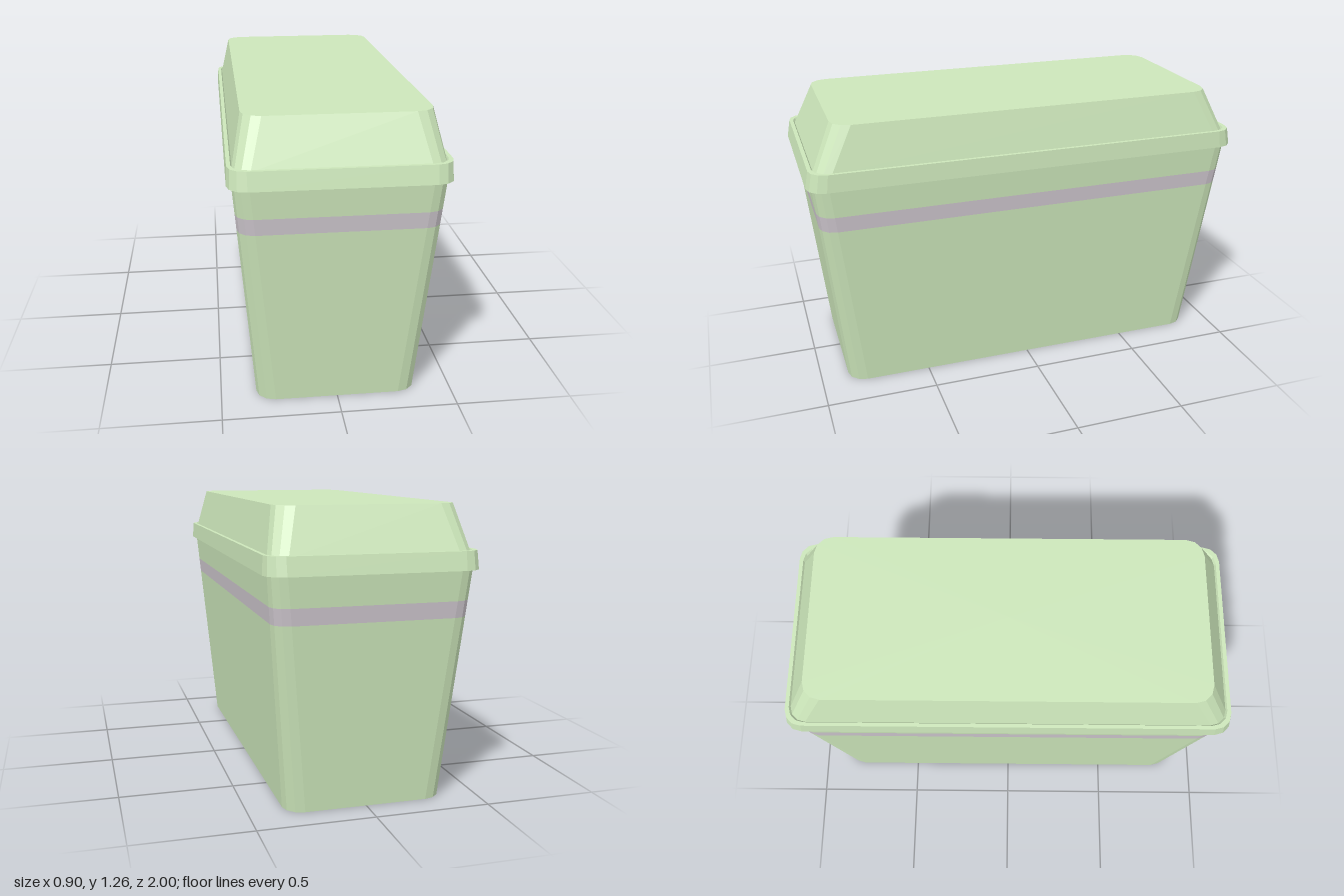
import * as THREE from 'three';

const green = new THREE.MeshStandardMaterial({ color: 0xcce6ba, flatShading: true });
const mauve = new THREE.MeshStandardMaterial({ color: 0xcdc6cd, flatShading: true });
const grey = new THREE.MeshStandardMaterial({ color: 0xcccccc, flatShading: true });

// Rounded rectangle at height y: half width w, half depth d, corner radius r
function ring([y, w, d, r]) {
  const pts = [];
  const corners = [[1, 1], [-1, 1], [-1, -1], [1, -1]];
  corners.forEach(([sx, sz], c) => {
    for (let i = 0; i <= 3; i++) {
      const a = (c + i / 3) * Math.PI / 2;
      pts.push(new THREE.Vector3(sx * (w - r) + r * Math.cos(a), y, sz * (d - r) + r * Math.sin(a)));
    }
  });
  return pts;
}

// Flat-shaded skin through a chain of rings; a ring of zero size closes the skin
function loft(name, material, sections) {
  const rings = sections.map(ring);
  const pos = [];
  const tri = (a, b, c) => {
    if (a.distanceTo(b) > 1e-6 && b.distanceTo(c) > 1e-6 && c.distanceTo(a) > 1e-6) {
      pos.push(...a.toArray(), ...b.toArray(), ...c.toArray());
    }
  };
  for (let k = 0; k + 1 < rings.length; k++) {
    const a = rings[k], b = rings[k + 1];
    for (let i = 0; i < a.length; i++) {
      const j = (i + 1) % a.length;
      tri(a[i], b[i], a[j]);
      tri(a[j], b[i], b[j]);
    }
  }
  const geo = new THREE.BufferGeometry();
  geo.setAttribute('position', new THREE.Float32BufferAttribute(pos, 3));
  geo.computeVertexNormals();
  const mesh = new THREE.Mesh(geo, material);
  mesh.name = name;
  return mesh;
}

// Section of the tapered body at height y
const body = (y) => [y, 0.347 + 0.083 * y, 0.874 + 0.102 * y, 0.08 - 0.012 * y];

export function createModel() {
  const group = new THREE.Group();
  group.name = 'bin';

  // Recessed base, foot ring and tapered walls
  const recess = [0.26, 0.78, 0.06];
  group.add(loft('baseFloor', grey, [[0.09, 0, 0, 0], [0.09, ...recess]]));
  group.add(loft('lowerBody', green, [[0.09, ...recess], [0, ...recess], body(0), body(0.8)]));
  group.add(loft('stripe', mauve, [body(0.8), body(0.87)]));
  group.add(loft('upperBody', green, [body(0.87), body(0.997)]));

  // Overhanging rim with a narrow lip around the lid
  group.add(loft('rim', green, [
    body(0.997),
    [0.997, 0.45, 1, 0.08],
    [1.075, 0.446, 0.985, 0.075],
    [1.075, 0.43, 0.968, 0.07],
    [1.065, 0.425, 0.962, 0.07],
  ]));

  // Sloped lid with a flat top
  group.add(loft('lid', green, [
    [1.065, 0.425, 0.962, 0.07],
    [1.26, 0.385, 0.874, 0.08],
    [1.26, 0, 0, 0],
  ]));
  return group;
}
